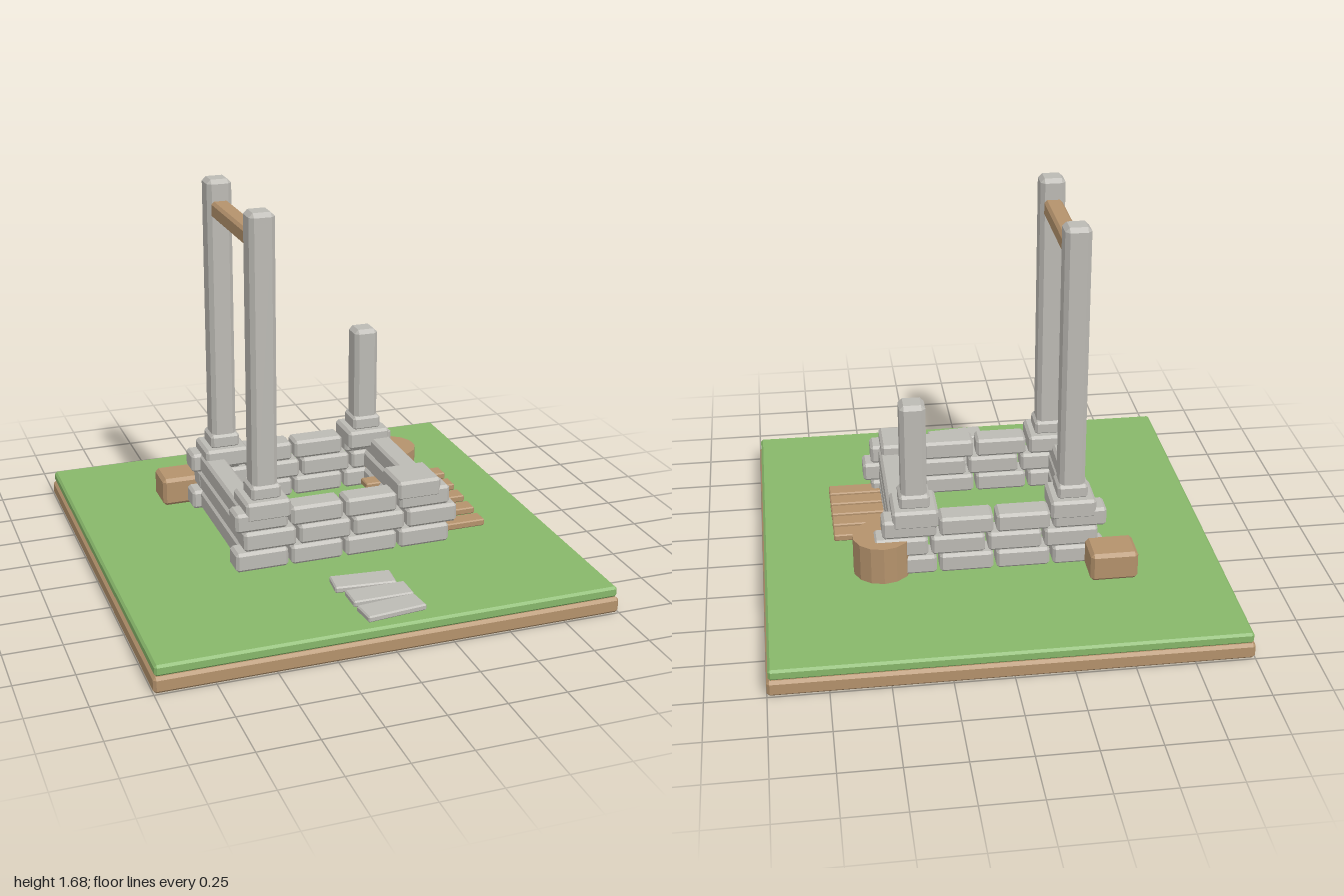
import * as THREE from 'three';
import { ConvexGeometry } from 'three/addons/geometries/ConvexGeometry.js';

// Box with chamfered edges, flat shaded
function chamferBox(w, h, d, b) {
  const pts = [];
  for (const sx of [-1, 1]) for (const sy of [-1, 1]) for (const sz of [-1, 1]) {
    const x = sx * w / 2, y = sy * h / 2, z = sz * d / 2;
    pts.push(
      new THREE.Vector3(x, y - sy * b, z - sz * b),
      new THREE.Vector3(x - sx * b, y, z - sz * b),
      new THREE.Vector3(x - sx * b, y - sy * b, z));
  }
  return new ConvexGeometry(pts);
}

export function createModel() {
  const model = new THREE.Group();
  model.name = 'ruinedWell';
  const material = (name, color) => {
    const m = new THREE.MeshStandardMaterial({ color });
    m.name = name;
    return m;
  };
  const grass = material('grass', 0x87b76a);
  const stone = material('stone', 0xbcbab4);
  const wood = material('wood', 0xb4926c);

  // Adds a chamfered block given its centre and size
  function block(name, mat, [x, y, z], [w, h, d], bevel = 0.012) {
    const mesh = new THREE.Mesh(chamferBox(w, h, d, bevel), mat);
    mesh.name = name;
    mesh.position.set(x, y, z);
    model.add(mesh);
    return mesh;
  }

  // Ground
  block('soil', wood, [0, 0.035, 0], [2, 0.07, 2]);
  block('lawn', grass, [0, 0.094, 0], [1.985, 0.048, 1.985], 0.01);

  // Brick courses: staggered bricks front and back, long blocks on the sides
  for (let row = 0; row < 3; row++) {
    const y = 0.184 + row * 0.09;
    const shift = row === 1 ? 0.036 : 0;
    for (const side of [-1, 1]) {
      for (let i = 0; i < 4; i++) {
        block('wallBrick', stone, [-0.37 + i * 0.246 + shift, y, side * 0.343], [0.232, 0.086, 0.11]);
      }
      block('sideBlock', stone, [side * 0.398, y, 0], [0.1, 0.086, 0.7]);
    }
  }

  // Corner slabs, and pillars with collars on three of them
  const corners = [[-1, 1, 1.677], [-1, -1, 1.677], [1, -1, 0.927], [1, 1, 0]];
  for (const [sx, sz, top] of corners) {
    const x = sx * 0.341, z = sz * 0.303;
    block('cornerSlab', stone, [x, 0.408, z], [0.197, 0.086, 0.197]);
    if (!top) continue;
    block('pillarCollar', stone, [x, 0.477, z], [0.132, 0.066, 0.132]);
    block('pillar', stone, [x, (0.45 + top) / 2, z], [0.11, top - 0.45, 0.11], 0.018);
  }

  // Crossbeam between the tall pillars
  block('crossbeam', wood, [-0.341, 1.548, 0], [0.08, 0.073, 0.52], 0.012);

  // Row of planks, rising towards the back
  for (let i = 0; i < 5; i++) {
    block('plank', wood, [0.486, 0.175 + i * 0.0105, 0.302 - i * 0.111], [0.392, 0.031, 0.077], 0.005);
  }

  // Log stump and crate
  const stump = new THREE.Mesh(new THREE.CylinderGeometry(0.127, 0.127, 0.17, 14).toNonIndexed(), wood);
  stump.geometry.computeVertexNormals();
  stump.name = 'stump';
  stump.position.set(0.483, 0.224, -0.325);
  model.add(stump);
  block('crate', wood, [-0.497, 0.198, -0.463], [0.206, 0.13, 0.165], 0.015);

  // Stepping stones
  for (const [x, z, turn] of [[-0.003, 0.617, -0.1], [0.021, 0.745, 0], [0.025, 0.873, 0.1]]) {
    block('steppingStone', stone, [x, 0.131, z], [0.264, 0.028, 0.112], 0.006).rotation.y = turn;
  }
  return model;
}
